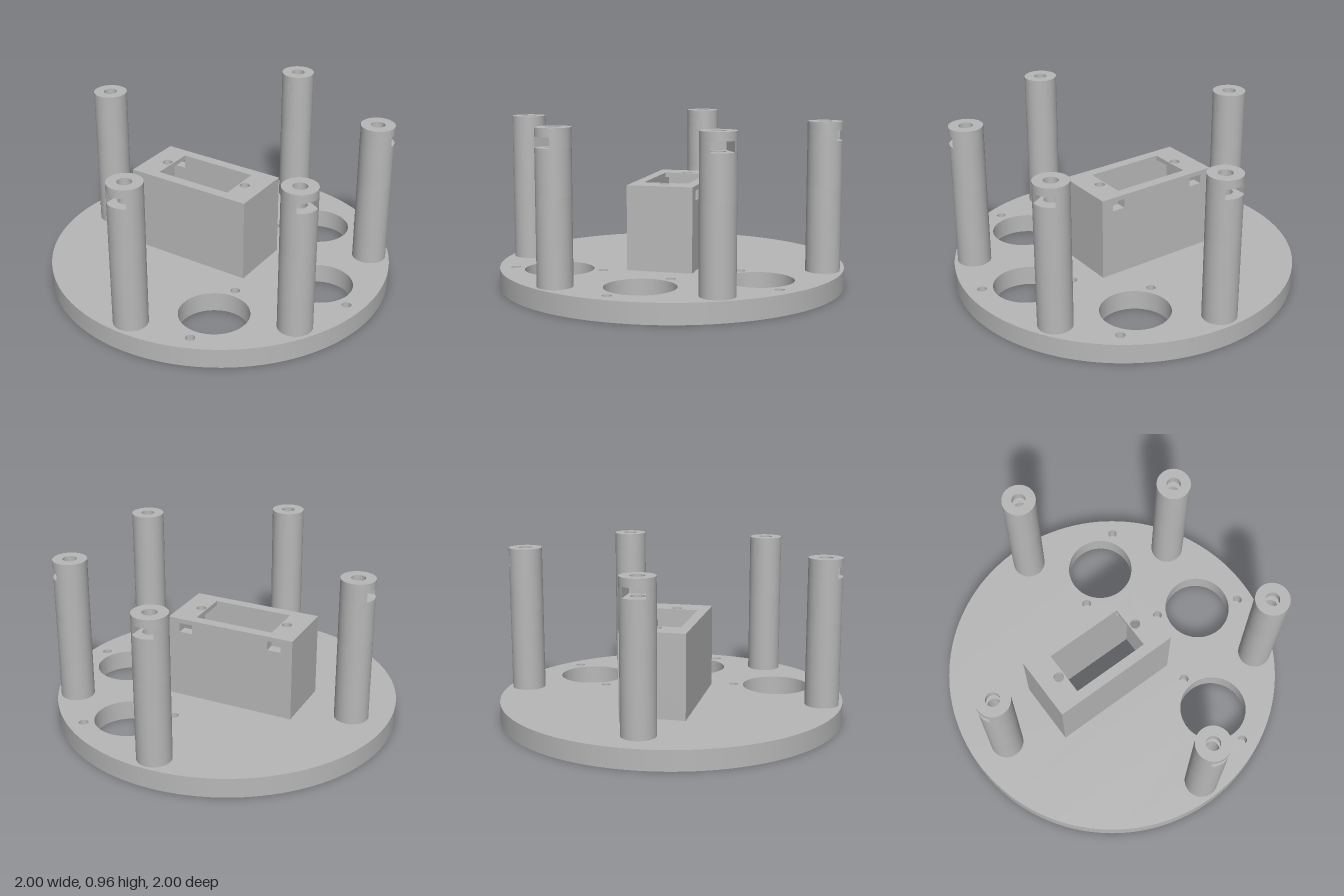
import * as THREE from 'three';
import { toCreasedNormals } from 'three/addons/utils/BufferGeometryUtils.js';

const grey = new THREE.MeshStandardMaterial({ color: 0xb8b8b8 });
grey.name = 'grey plastic';

// Plan shapes use (x, z) as their two coordinates.
function disc(r, x = 0, z = 0, Type = THREE.Shape) {
  return new Type().absarc(x, z, r, 0, Math.PI * 2, false);
}
function polygon(points, Type = THREE.Shape) {
  return new Type(points.map(([x, z]) => new THREE.Vector2(x, z)));
}
function rect(x0, x1, z0, z1, Type = THREE.Shape) {
  return polygon([[x0, z0], [x1, z0], [x1, z1], [x0, z1]], Type);
}
const hole = (r, x, z) => disc(r, x, z, THREE.Path);

// Horizontal slab of a plan shape between two heights
function slab(name, shape, y0, y1, holes = [], segments = 24) {
  shape.holes.push(...holes);
  const geo = new THREE.ExtrudeGeometry(shape, { depth: y1 - y0, bevelEnabled: false, curveSegments: segments });
  geo.rotateX(Math.PI / 2);
  geo.translate(0, y1, 0);
  const mesh = new THREE.Mesh(toCreasedNormals(geo, 0.5), grey);
  mesh.name = name;
  return mesh;
}

const BASE = 0.115;
const CAVITY = [-0.42, 0.21, -0.13, 0.13];

function createBase() {
  const base = new THREE.Group();
  base.name = 'base';
  const openings = () => [
    hole(0.198, 0.335, -0.575), hole(0.198, 0.665, 0), hole(0.198, 0.335, 0.575),
    rect(...CAVITY, THREE.Path),
  ];
  // Small blind screw holes beside the round openings
  const screws = [[0.545, -0.727], [0.125, -0.435], [0.435, -0.108], [0.902, 0.108], [0.31, 0.322], [0.355, 0.835]]
    .map(([x, z]) => hole(0.027, x, z));
  base.add(
    slab('baseLower', disc(1), 0, 0.03, openings(), 64),
    slab('baseUpper', disc(1), 0.03, BASE, [...openings(), ...screws], 64),
  );
  return base;
}

function createHousing() {
  const housing = new THREE.Group();
  housing.name = 'housing';
  const [x0, x1, z0, z1] = [-0.49, 0.28, -0.19, 0.19];
  const [cx0, cx1, cz0, cz1] = CAVITY;
  const slotLow = 0.52, slotHigh = 0.575, top = 0.602;
  // Wall level with two nut slots open to the back
  const wall = polygon([[x0, z0], [cx0, z0], [cx0, cz1], [cx1, cz1], [cx1, z0], [x1, z0], [x1, z1], [x0, z1]]);
  housing.add(
    slab('housingWalls', rect(x0, x1, z0, z1), BASE, slotLow, [rect(...CAVITY, THREE.Path)]),
    slab('housingSlotWalls', wall, slotLow, slotHigh),
    slab('housingBackWall', rect(-0.34, 0.13, z0, cz0), slotLow, slotHigh),
    slab('housingTop', rect(x0, x1, z0, z1), slotHigh, top,
      [rect(-0.34, 0.13, -0.13, 0.13, THREE.Path), hole(0.029, -0.376, 0), hole(0.029, 0.166, 0)]),
  );
  return housing;
}

// Post with a blind screw hole and a nut slot facing away from the centre
function createPost(x, z) {
  const post = new THREE.Group();
  post.name = 'post';
  const R = 0.0975, r = 0.04, half = 0.0625;
  const boreEnd = 0.6, slotLow = 0.857, slotHigh = 0.915, top = 0.963;
  const a = Math.asin(half / R);
  const notched = new THREE.Shape();
  notched.absarc(0, 0, R, a, Math.PI * 2 - a, false);
  notched.lineTo(-half, -half);
  notched.lineTo(-half, half);
  notched.closePath();
  post.add(
    slab('postFoot', disc(R), BASE, boreEnd),
    slab('postShaft', disc(R), boreEnd, slotLow, [hole(r, 0, 0)]),
    slab('postSlot', notched, slotLow, slotHigh),
    slab('postTop', disc(R), slotHigh, top, [hole(r, 0, 0)]),
  );
  post.position.set(x, 0, z);
  post.rotation.y = -Math.atan2(z, x);
  return post;
}

export function createModel() {
  const model = new THREE.Group();
  model.name = 'mountingPlate';
  model.add(createBase(), createHousing());
  for (const [x, z] of [[-0.785, 0], [0, -0.883], [0, 0.883], [0.765, -0.441], [0.765, 0.441]]) {
    model.add(createPost(x, z));
  }
  return model;
}
